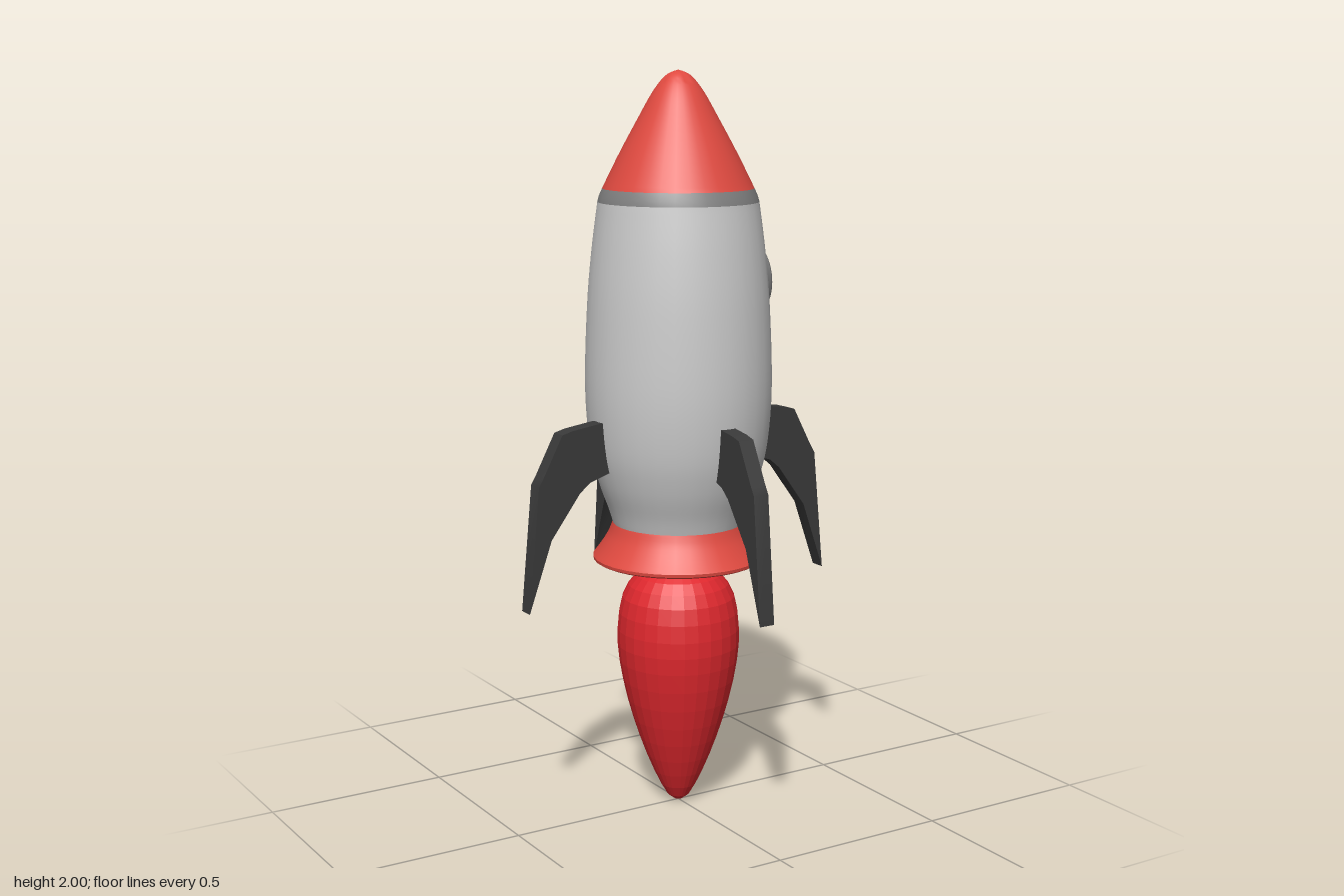
import * as THREE from 'three';
import { toCreasedNormals } from 'three/addons/utils/BufferGeometryUtils.js';

const mat = (color, extra = {}) => new THREE.MeshStandardMaterial({ color, ...extra });
const red = mat(0xe04a40);
const dark = mat(0x3a3a3a);
const grey = mat(0x808080);

const toPoints = (pairs) => pairs.map(([r, y]) => new THREE.Vector2(r, y));

// Smooth curve through [radius, height] pairs
function smooth(pairs, n) {
  const pts = new THREE.SplineCurve(toPoints(pairs)).getPoints(n);
  pts.forEach((p) => { p.x = Math.max(0, p.x); });
  return pts;
}

function turned(name, points, material, segments = 32, crease = 0.6) {
  const geo = toCreasedNormals(new THREE.LatheGeometry(points, segments), crease);
  const mesh = new THREE.Mesh(geo, material);
  mesh.name = name;
  return mesh;
}

export function createModel() {
  const rocket = new THREE.Group();
  rocket.name = 'rocket';

  // Hull, collar band and nose
  const hull = smooth([[0.178, 0.8], [0.19, 0.84], [0.218, 0.92], [0.24, 1.02],
    [0.25, 1.17], [0.243, 1.38], [0.23, 1.53], [0.213, 1.66]], 32);
  rocket.add(turned('hull', hull, mat(0xcccccc)));
  rocket.add(turned('noseBand', toPoints([[0.213, 1.66], [0.209, 1.675], [0.2, 1.695]]), grey));
  const nose = smooth([[0.2, 1.695], [0.155, 1.785], [0.106, 1.875], [0.066, 1.945],
    [0.032, 1.986], [0, 2]], 24);
  rocket.add(turned('noseCone', nose, red));

  // Flared engine skirt with a hollow underside
  const flare = smooth([[0.232, 0.708], [0.212, 0.735], [0.19, 0.77], [0.178, 0.8]], 10);
  const underside = toPoints([[0, 0.75], [0.12, 0.745], [0.165, 0.725], [0.19, 0.7], [0.222, 0.695], [0.231, 0.7]]);
  rocket.add(turned('engineSkirt', [...underside, ...flare], red));

  // Faceted exhaust flame
  const flame = smooth([[0, 0], [0.03, 0.018], [0.068, 0.09], [0.107, 0.19], [0.14, 0.3],
    [0.162, 0.41], [0.167, 0.5], [0.153, 0.59], [0.115, 0.65], [0.06, 0.677], [0, 0.685]], 20);
  rocket.add(turned('flame', flame, mat(0xe0282e, { flatShading: true }), 28));

  // Four swept fins; the front and back pair sits a little closer in
  const finShape = new THREE.Shape(toPoints([[0.21, 1.09], [0.25, 1.095], [0.335, 1.083], [0.365, 1.075],
    [0.42, 0.97], [0.435, 0.945], [0.467, 0.61], [0.4, 0.8], [0.315, 0.915], [0.285, 0.94], [0.21, 0.965]]));
  const thickness = 0.044;
  const finGeo = toCreasedNormals(
    new THREE.ExtrudeGeometry(finShape, { depth: thickness, bevelEnabled: false })
      .translate(0, 0, -thickness / 2), 0.7);
  ['left', 'back', 'right', 'front'].forEach((side, i) => {
    const fin = new THREE.Mesh(finGeo, dark);
    fin.name = side + 'Fin';
    fin.position.x = i % 2 ? -0.037 : 0;
    const pivot = new THREE.Group();
    pivot.name = side + 'FinMount';
    pivot.rotation.y = i * Math.PI / 2;
    pivot.add(fin);
    rocket.add(pivot);
  });

  // Porthole on the left flank, turned about an axis pointing out along +x
  const porthole = new THREE.Group();
  porthole.name = 'porthole';
  porthole.add(turned('portholeFrame', toPoints([[0.108, -0.08], [0.108, -0.006], [0.102, 0],
    [0.089, 0], [0.083, -0.012]]), mat(0x747474, { side: THREE.DoubleSide })));
  porthole.add(turned('portholeGlass', toPoints([[0.087, -0.02], [0.085, 0.001], [0.07, 0.005],
    [0.04, 0.008], [0, 0.009]]), mat(0xd3e0e4)));
  porthole.rotation.z = -Math.PI / 2;
  porthole.position.set(0.257, 1.438, -0.037);
  rocket.add(porthole);

  return rocket;
}
